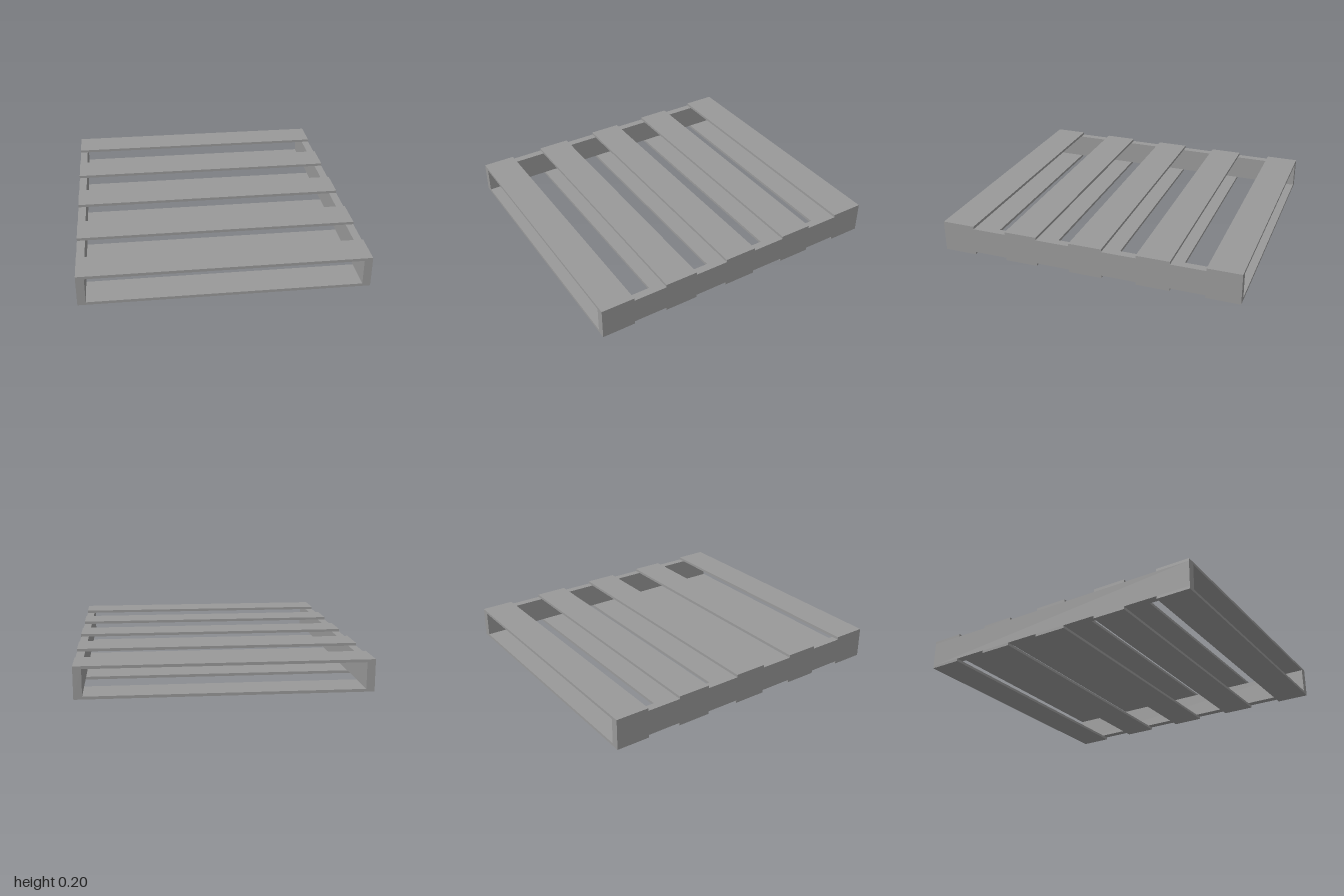
import * as THREE from 'three';

const WIDTH = 1.824, HEIGHT = 0.204, LENGTH = 2;
const SLAT_DEPTH = 0.22, SLAT_THICK = 0.018, RAIL_THICK = 0.052, SLATS = 5;

export function createModel() {
  const pallet = new THREE.Group();
  pallet.name = 'pallet';
  const wood = new THREE.MeshStandardMaterial({ color: 0x999999, flatShading: true });

  const addBoard = (name, size, position) => {
    const board = new THREE.Mesh(new THREE.BoxGeometry(...size), wood);
    board.name = name;
    board.position.set(...position);
    pallet.add(board);
  };

  // Side rails standing between the two decks
  for (const [name, side] of [['leftRail', 1], ['rightRail', -1]]) {
    addBoard(name, [RAIL_THICK, HEIGHT - 2 * SLAT_THICK, LENGTH],
      [side * (WIDTH - RAIL_THICK) / 2, HEIGHT / 2, 0]);
  }

  // Evenly spaced slats of the top and bottom decks
  const spacing = (LENGTH - SLAT_DEPTH) / (SLATS - 1);
  for (let i = 0; i < SLATS; i++) {
    const z = (i - (SLATS - 1) / 2) * spacing;
    const size = [WIDTH, SLAT_THICK, SLAT_DEPTH];
    addBoard(`topSlat${i + 1}`, size, [0, HEIGHT - SLAT_THICK / 2, z]);
    addBoard(`bottomSlat${i + 1}`, size, [0, SLAT_THICK / 2, z]);
  }
  return pallet;
}
